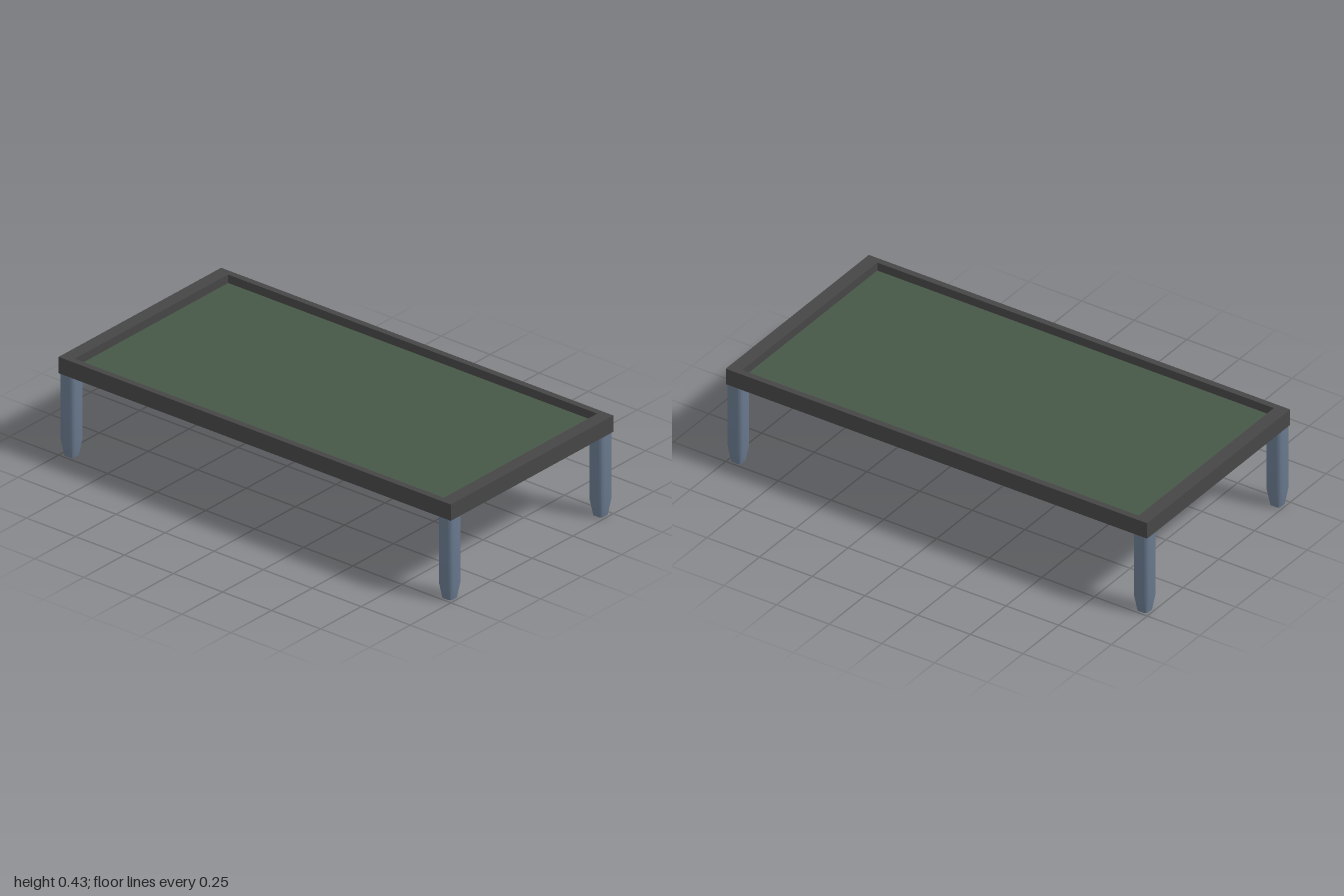
import * as THREE from 'three';
import { toCreasedNormals } from 'three/addons/utils/BufferGeometryUtils.js';

const frameMat = new THREE.MeshStandardMaterial({ color: 0x474646 });
frameMat.name = 'charcoalFrame';
const panelMat = new THREE.MeshStandardMaterial({ color: 0x475847 });
panelMat.name = 'greenPanel';
const legMat = new THREE.MeshStandardMaterial({ color: 0x69798e });
legMat.name = 'slateLeg';

const TOP = 0.433, UNDER = 0.361, FLOOR = 0.396;

function add(parent, name, geometry, material, x = 0, y = 0, z = 0) {
  const mesh = new THREE.Mesh(geometry, material);
  mesh.name = name;
  mesh.position.set(x, y, z);
  parent.add(mesh);
  return mesh;
}

// Rectangle outline, centred on the origin
function rectPoints(w, d) {
  return [[-w, -d], [w, -d], [w, d], [-w, d]].map(([x, y]) => new THREE.Vector2(x / 2, y / 2));
}

// Square post with rounded corners; the lowest ring narrows to a foot
function legGeometry(width, height, taperHeight, footScale) {
  const h = width / 2, r = 0.02, i = h - r;
  const s = new THREE.Shape();
  s.moveTo(-i, -h);
  s.lineTo(i, -h);
  s.absarc(i, -i, r, -Math.PI / 2, 0);
  s.absarc(i, i, r, 0, Math.PI / 2);
  s.absarc(-i, i, r, Math.PI / 2, Math.PI);
  s.absarc(-i, -i, r, Math.PI, Math.PI * 1.5);
  const geo = new THREE.ExtrudeGeometry(s, { depth: height, steps: 2, curveSegments: 4, bevelEnabled: false });
  geo.rotateX(-Math.PI / 2);
  const p = geo.attributes.position;
  for (let k = 0; k < p.count; k++) {
    const y = p.getY(k);
    if (y < 0.001) p.setXYZ(k, p.getX(k) * footScale, 0, p.getZ(k) * footScale);
    else if (y < height - 0.001) p.setY(k, taperHeight);
  }
  return toCreasedNormals(geo, 0.5);
}

export function createModel() {
  const table = new THREE.Group();
  table.name = 'table';

  // Raised rim around the recessed top
  const rim = new THREE.Shape(rectPoints(1, 2));
  rim.holes.push(new THREE.Path(rectPoints(0.944, 1.882).reverse()));
  const rimGeo = new THREE.ExtrudeGeometry(rim, { depth: TOP - UNDER, bevelEnabled: false });
  rimGeo.rotateX(-Math.PI / 2);
  add(table, 'rim', rimGeo, frameMat, 0, UNDER, 0);

  // Underside board and the green inset on it
  const boardHeight = FLOOR - 0.005 - UNDER;
  add(table, 'underBoard', new THREE.BoxGeometry(0.944, boardHeight, 1.882), frameMat, 0, UNDER + boardHeight / 2, 0);
  add(table, 'greenInset', new THREE.BoxGeometry(0.944, 0.005, 1.882), panelMat, 0, FLOOR - 0.0025, 0);

  // Four corner legs
  const legGeo = legGeometry(0.072, UNDER, 0.068, 0.68);
  for (const [end, sz] of [['front', 1], ['back', -1]])
    for (const [side, sx] of [['Left', 1], ['Right', -1]])
      add(table, `${end}${side}Leg`, legGeo, legMat, sx * 0.464, 0, sz * 0.964);

  return table;
}
